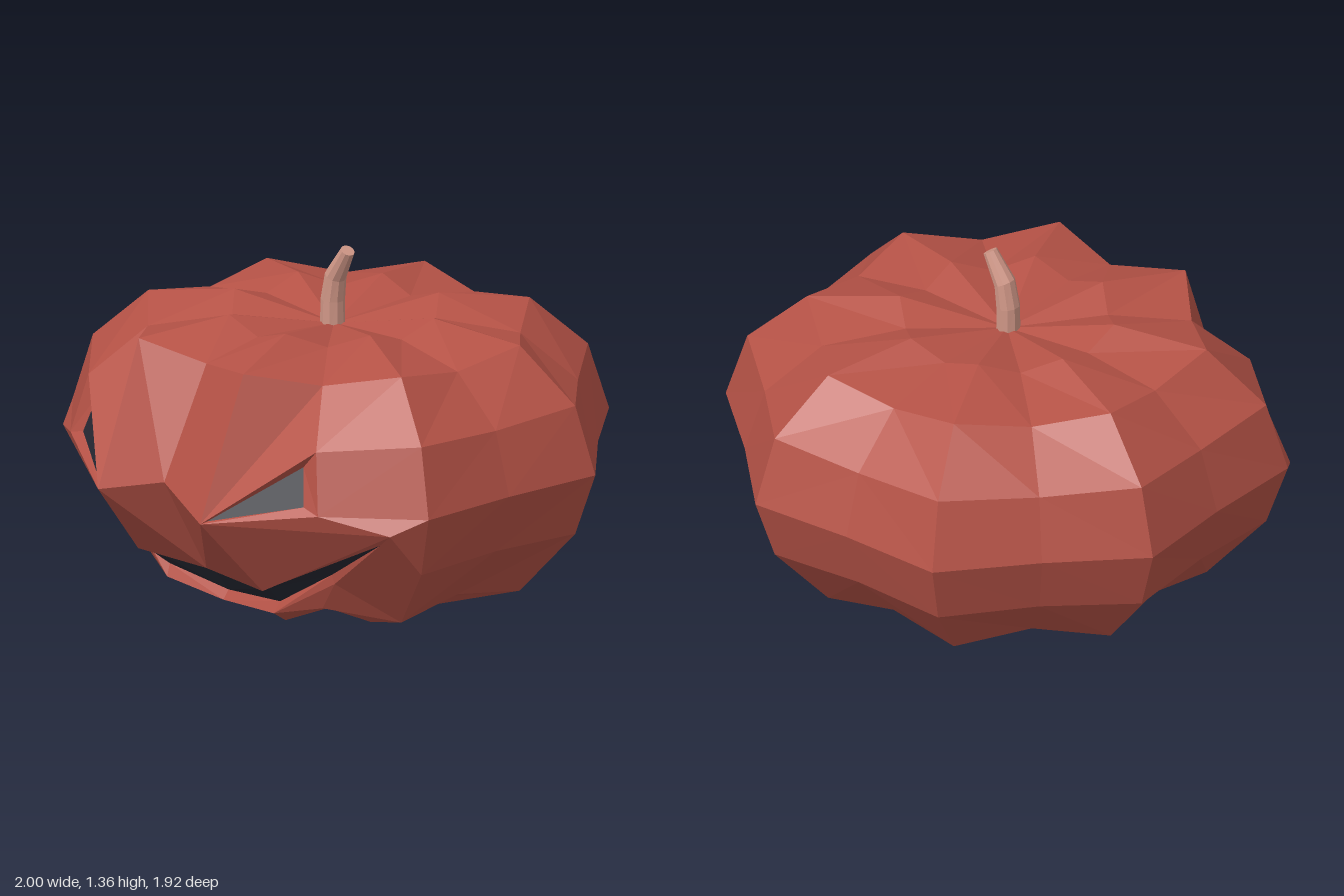
import * as THREE from 'three';

const skin = new THREE.MeshStandardMaterial({ color: 0xb55246, flatShading: true, side: THREE.DoubleSide });
skin.name = 'pumpkin skin';
const dark = new THREE.MeshStandardMaterial({ color: 0x252833, flatShading: true, side: THREE.DoubleSide });
dark.name = 'hollow dark';
const wood = new THREE.MeshStandardMaterial({ color: 0xcf9686, flatShading: true });
wood.name = 'stem';

const CZ = 0.035; // z of the pumpkin's axis

// Rows from top pole to bottom pole: [ridge radius, ridge y, valley radius, valley y]
const ROWS = [
  [0, 1.045, 0, 1.045], [0.413, 1.12, 0.38, 1.07], [0.77, 1.065, 0.695, 1.02],
  [1.0, 0.86, 0.91, 0.84], [1.083, 0.6, 0.985, 0.6], [1.0, 0.36, 0.91, 0.37],
  [0.77, 0.105, 0.695, 0.15], [0.413, 0.0, 0.38, 0.05], [0, 0.12, 0, 0.12],
];

// Face corners on the +x half
const A = [0.64, 0.83, 0.69], B = [0.696, 0.6, 0.731], C = [0.287, 0.52, 0.955], D = [0, 0.6, 0.88];
const M = [0.92, 0.54, 0.57], L = [0.35, 0.22, 0.7], L0 = [0, 0.22, 0.67];
const P = [0.58, 0.27, 0.545], Q = [0.3, 0.1, 0.6], Q0 = [0, 0.078, 0.585];
// Inset corners of the eye and mouth
const eyeIn = [[0.58, 0.76, 0.7], [0.3, 0.53, 0.93], [0.62, 0.62, 0.735]];
const m = [0.86, 0.492, 0.565], l = [0.35, 0.225, 0.672], l0 = [0, 0.225, 0.645];
const p = [0.57, 0.305, 0.55], q = [0.31, 0.145, 0.578], q0 = [0, 0.113, 0.56];

const moved = { '4,2': [0, 1.02, 0.67], '2,3': A, '2,4': B, '3,6': Q, '4,6': Q0 };

// Grid vertex: column k at k * 22.5 degrees (4 is the front), odd columns are ridges
function v(k, row) {
  if (moved[`${k},${row}`]) return moved[`${k},${row}`];
  const o = k % 2 ? 0 : 2;
  const r = ROWS[row][o], a = k * Math.PI / 8;
  return [r * Math.cos(a), ROWS[row][o + 1], CZ + r * Math.sin(a)];
}

// Builds flat polygons; optionally adds their mirror image across x = 0
function polyMesh(name, polys, material) {
  const pos = [];
  for (const poly of polys) {
    for (let i = 1; i < poly.length - 1; i++) {
      const tri = [poly[0], poly[i], poly[i + 1]];
      for (const c of tri) pos.push(...c);
      for (const c of tri.reverse()) pos.push(-c[0], c[1], c[2]);
    }
  }
  const g = new THREE.BufferGeometry();
  g.setAttribute('position', new THREE.Float32BufferAttribute(pos, 3));
  g.computeVertexNormals();
  const mesh = new THREE.Mesh(g, material);
  mesh.name = name;
  return mesh;
}

// Quads joining an outer outline to its inset outline
function strip(outer, inner) {
  return outer.slice(1).map((o, i) => [outer[i], o, inner[i + 1], inner[i]]);
}

function bodyPolys() {
  const polys = [];
  for (let k = -4; k < 4; k++) {
    for (let row = 0; row < 8; row++) {
      // leave room for the carved face
      if (k === 1 && (row === 4 || row === 5)) continue;
      if (k >= 2 && row >= 2 && row <= 5) continue;
      const a = v(k, row), b = v(k + 1, row), c = v(k + 1, row + 1), d = v(k, row + 1);
      polys.push(row === 0 ? [a, c, d] : row === 7 ? [a, b, c] : [a, b, c, d]);
    }
  }
  return polys;
}

function facePolys() {
  const T = v(3, 2), T0 = v(4, 2), Tv = v(2, 2);
  const R4 = v(1, 4), R5 = v(1, 5), R6 = v(1, 6), V6 = v(2, 6);
  return [
    [T, T0, D, C], [Tv, T, C], [Tv, C, A],                 // forehead
    [B, C, M], [M, C, L], [C, D, L0, L],                   // upper lip
    [R4, B, M], [R4, M, R5], [M, P, R5],                   // cheek
    [R5, P, R6], [P, V6, R6], [P, Q, V6],                  // jaw
  ];
}

// Bent, tapering stem: [centre x, centre y, radius, tilt]
function makeStem() {
  const rings = [[-0.005, 1.03, 0.046, 0], [-0.004, 1.14, 0.045, -0.1], [0.012, 1.235, 0.041, -0.5], [0.08, 1.347, 0.027, -0.6]];
  const g = new THREE.CylinderGeometry(1, 1, 3, 10, 3);
  const pos = g.attributes.position;
  for (let i = 0; i < pos.count; i++) {
    const [cx, cy, r, tilt] = rings[Math.round(pos.getY(i) + 1.5)];
    const dx = pos.getX(i) * r * (1 - Math.abs(tilt) * 0.25);
    pos.setXYZ(i, cx + dx, cy + dx * tilt, CZ + 0.003 + pos.getZ(i) * r * 1.05);
  }
  g.computeVertexNormals();
  const mesh = new THREE.Mesh(g, wood);
  mesh.name = 'stem';
  return mesh;
}

export function createModel() {
  const group = new THREE.Group();
  group.name = 'carvedPumpkin';
  const eyeOut = [A, C, B];
  group.add(
    polyMesh('ribbedBody', bodyPolys(), skin),
    polyMesh('carvedFace', facePolys(), skin),
    polyMesh('eyeRims', strip([...eyeOut, A], [...eyeIn, eyeIn[0]]), skin),
    polyMesh('mouthRim', strip([Q0, Q, P, M, L, L0], [q0, q, p, m, l, l0]), skin),
    polyMesh('eyes', [eyeIn], dark),
    polyMesh('mouth', [[q0, q, l, l0], [q, p, l], [p, m, l]], dark),
    makeStem(),
  );
  return group;
}
